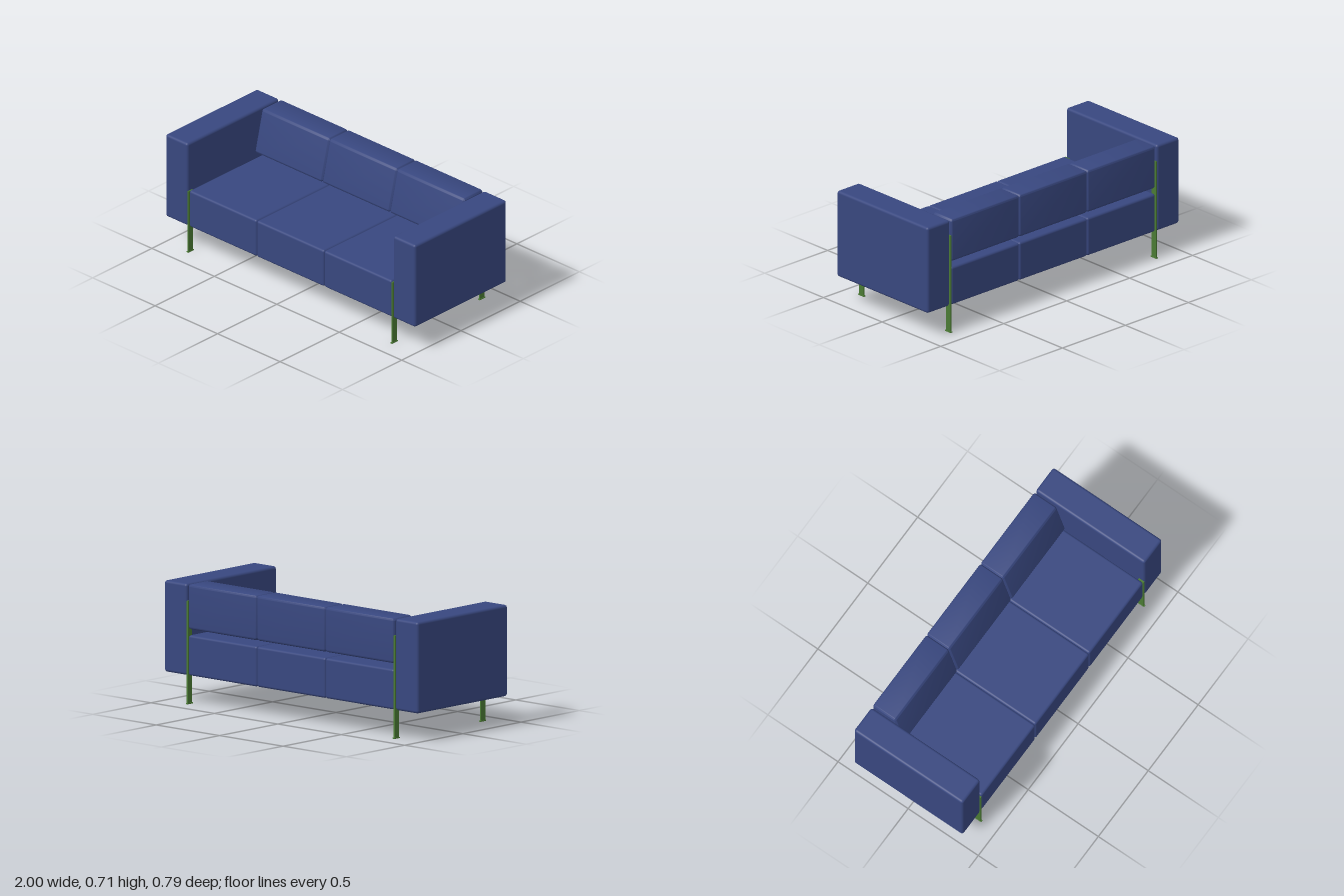
import * as THREE from 'three';
import { RoundedBoxGeometry } from 'three/addons/geometries/RoundedBoxGeometry.js';
import { toCreasedNormals } from 'three/addons/utils/BufferGeometryUtils.js';

const fabric = new THREE.MeshStandardMaterial({ color: 0x38477f });
const metal = new THREE.MeshStandardMaterial({ color: 0x4a7a33 });

function add(parent, name, geometry, material, x, y, z) {
  const mesh = new THREE.Mesh(geometry, material);
  mesh.name = name;
  mesh.position.set(x, y, z);
  parent.add(mesh);
  return mesh;
}

// Back cushion: rounded box whose front face leans back towards the top
function backCushionGeometry(w, h, d, lean) {
  const geo = new RoundedBoxGeometry(w, h, d, 4, 0.016);
  const p = geo.attributes.position;
  for (let i = 0; i < p.count; i++) {
    const front = p.getZ(i) / d + 0.5;
    const up = p.getY(i) / h + 0.5;
    p.setZ(i, p.getZ(i) - lean * up * front);
  }
  return toCreasedNormals(geo, 0.7);
}

export function createModel() {
  const sofa = new THREE.Group();
  sofa.name = 'sofa';

  // Three seat and three back cushions
  const w = 0.54;
  const seatGeo = new RoundedBoxGeometry(w, 0.238, 0.776, 4, 0.014);
  const backGeo = backCushionGeometry(w, 0.266, 0.226, 0.066);
  for (let i = -1; i <= 1; i++) {
    add(sofa, 'seatCushion', seatGeo, fabric, i * w, 0.289, 0);
    add(sofa, 'backCushion', backGeo, fabric, i * w, 0.576, -0.276);
  }

  // Each side: arm block and a thin metal frame between arm and cushions
  const armGeo = new RoundedBoxGeometry(0.178, 0.54, 0.776, 4, 0.016);
  for (const side of [-1, 1]) {
    add(sofa, side > 0 ? 'leftArm' : 'rightArm', armGeo, fabric, side * 0.911, 0.439, 0);

    const frame = new THREE.Group();
    frame.name = side > 0 ? 'leftFrame' : 'rightFrame';
    frame.position.x = side * 0.816;
    const bar = (name, h, d, y, z, t = 0.009) =>
      add(frame, name, new THREE.BoxGeometry(t, h, d), metal, 0, y, z);
    bar('frontLeg', 0.4, 0.038, 0.2, 0.37);
    bar('backLeg', 0.61, 0.038, 0.305, -0.37);
    bar('sideRail', 0.04, 0.702, 0.24, 0);
    bar('frontFoot', 0.006, 0.048, 0.003, 0.37, 0.014);
    bar('backFoot', 0.006, 0.048, 0.003, -0.37, 0.014);
    sofa.add(frame);
  }
  return sofa;
}
